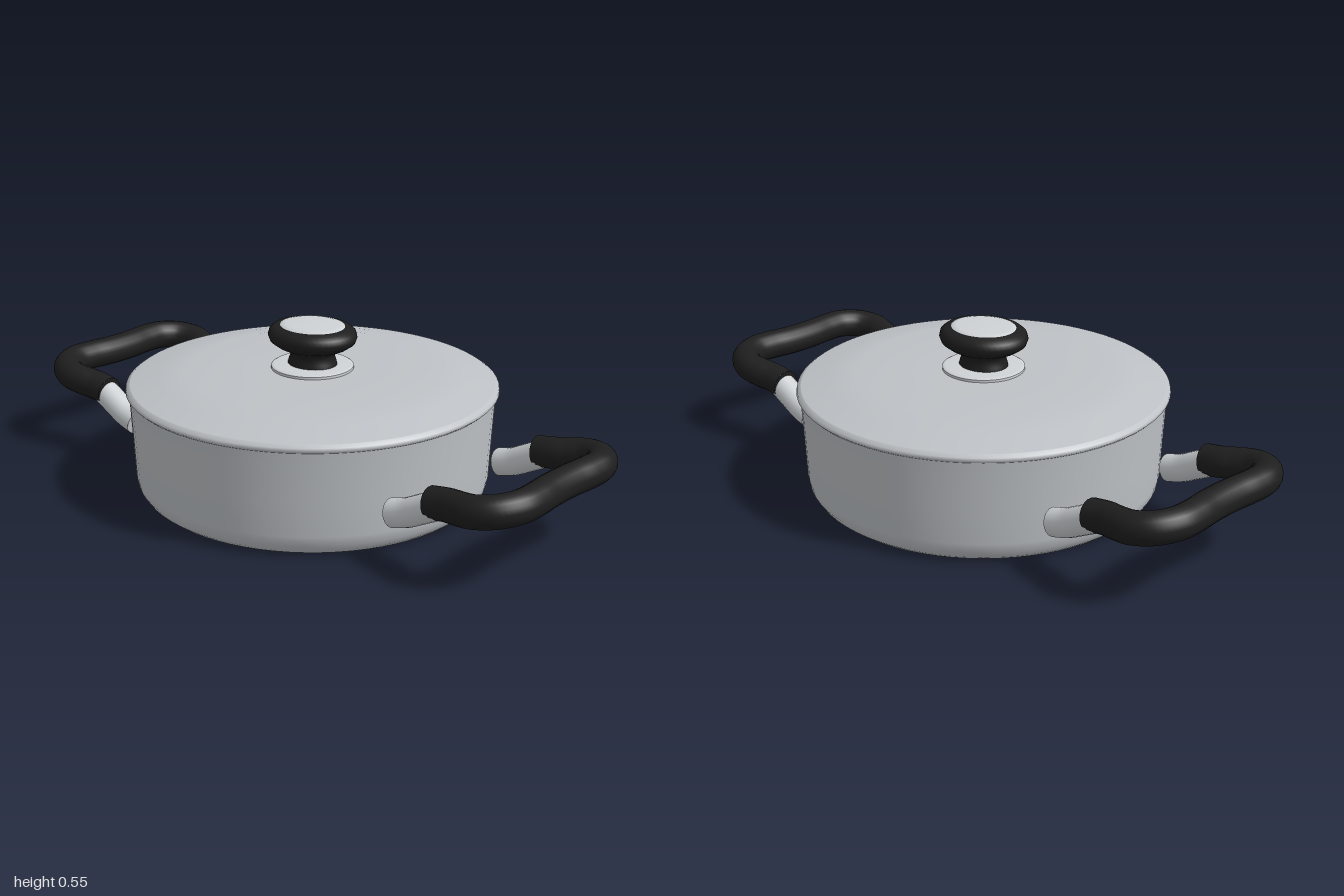
import * as THREE from 'three';

const steel = new THREE.MeshStandardMaterial({ color: 0xbec2c6 });
steel.name = 'brushed steel';
const brightSteel = new THREE.MeshStandardMaterial({ color: 0xced2d5 });
brightSteel.name = 'bright steel';
const black = new THREE.MeshStandardMaterial({ color: 0x1e1e1e });
black.name = 'black grip';

// Turned part; a repeated profile point makes a sharp edge
function lathe(name, profile, material, segments = 72) {
  const points = profile.map(([r, y]) => new THREE.Vector2(r, y));
  const mesh = new THREE.Mesh(new THREE.LatheGeometry(points, segments), material);
  mesh.name = name;
  return mesh;
}

// Round bar along a smooth path, closed with a disc at both ends
function bar(name, path, radius, steps, material) {
  const group = new THREE.Group();
  group.name = name;
  const curve = new THREE.CatmullRomCurve3(path.map((p) => new THREE.Vector3(...p)));
  group.add(new THREE.Mesh(new THREE.TubeGeometry(curve, steps, radius, 18), material));
  for (const t of [0, 1]) {
    const cap = new THREE.Mesh(new THREE.CircleGeometry(radius, 18), material);
    const outward = curve.getTangentAt(t).multiplyScalar(t ? 1 : -1);
    cap.quaternion.setFromUnitVectors(new THREE.Vector3(0, 0, 1), outward);
    cap.position.copy(curve.getPointAt(t));
    group.add(cap);
  }
  return group;
}

// Loop handle on the +x side: two steel stubs and a bent grip
function sideHandle(name) {
  const handle = new THREE.Group();
  handle.name = name;
  for (const s of [1, -1]) {
    handle.add(bar('handleStub', [
      [0.55, 0.148, s * 0.262], [0.6, 0.163, s * 0.262],
      [0.65, 0.188, s * 0.262], [0.72, 0.224, s * 0.262],
    ], 0.044, 12, brightSteel));
  }
  const half = [
    [0.69, 0.262], [0.75, 0.264], [0.8, 0.277], [0.855, 0.283],
    [0.91, 0.257], [0.943, 0.2], [0.946, 0.13], [0.939, 0.06],
  ];
  const lift = (x) => 0.222 + (x - 0.69) * 0.16;
  const path = [
    ...half.map(([x, z]) => [x, lift(x), z]),
    [0.937, lift(0.937), 0],
    ...half.slice().reverse().map(([x, z]) => [x, lift(x), -z]),
  ];
  handle.add(bar('handleGrip', path, 0.049, 80, black));
  return handle;
}

export function createModel() {
  const model = new THREE.Group();
  model.name = 'lidded pan';

  // Pan body and base
  model.add(lathe('panBody', [
    [0, 0.005], [0.532, 0.005], [0.532, 0.005], [0.548, 0.018], [0.562, 0.04],
    [0.568, 0.07], [0.573, 0.18], [0.579, 0.3], [0.582, 0.342],
  ], steel));
  model.add(lathe('baseDisc', [
    [0, 0], [0.43, 0], [0.43, 0], [0.44, 0.006],
  ], steel));

  // Lid with a rolled rim and sloping shoulder
  model.add(lathe('lid', [
    [0.56, 0.338], [0.585, 0.339], [0.585, 0.339], [0.592, 0.346], [0.59, 0.356],
    [0.578, 0.364], [0.578, 0.364], [0.49, 0.384], [0.4, 0.4], [0.2, 0.402], [0, 0.402],
  ], steel));

  // Knob: round plate, oval grip and inset cap
  model.add(lathe('knobPlate', [
    [0.131, 0.4], [0.131, 0.41], [0.131, 0.41], [0.122, 0.415], [0.06, 0.416],
  ], brightSteel, 48));
  const knob = new THREE.Group();
  knob.name = 'knob';
  knob.scale.x = 1.12;
  knob.add(lathe('knobGrip', [
    [0.074, 0.412], [0.071, 0.427], [0.065, 0.445], [0.075, 0.46], [0.105, 0.474],
    [0.126, 0.49], [0.132, 0.507], [0.128, 0.524], [0.115, 0.535], [0.095, 0.54], [0, 0.538],
  ], black, 48));
  knob.add(lathe('knobCap', [
    [0.097, 0.536], [0.096, 0.541], [0.08, 0.545], [0, 0.546],
  ], brightSteel, 48));
  model.add(knob);

  // Matching handles on both sides
  const left = sideHandle('leftHandle');
  const right = sideHandle('rightHandle');
  right.rotation.y = Math.PI;
  model.add(left, right);

  return model;
}
